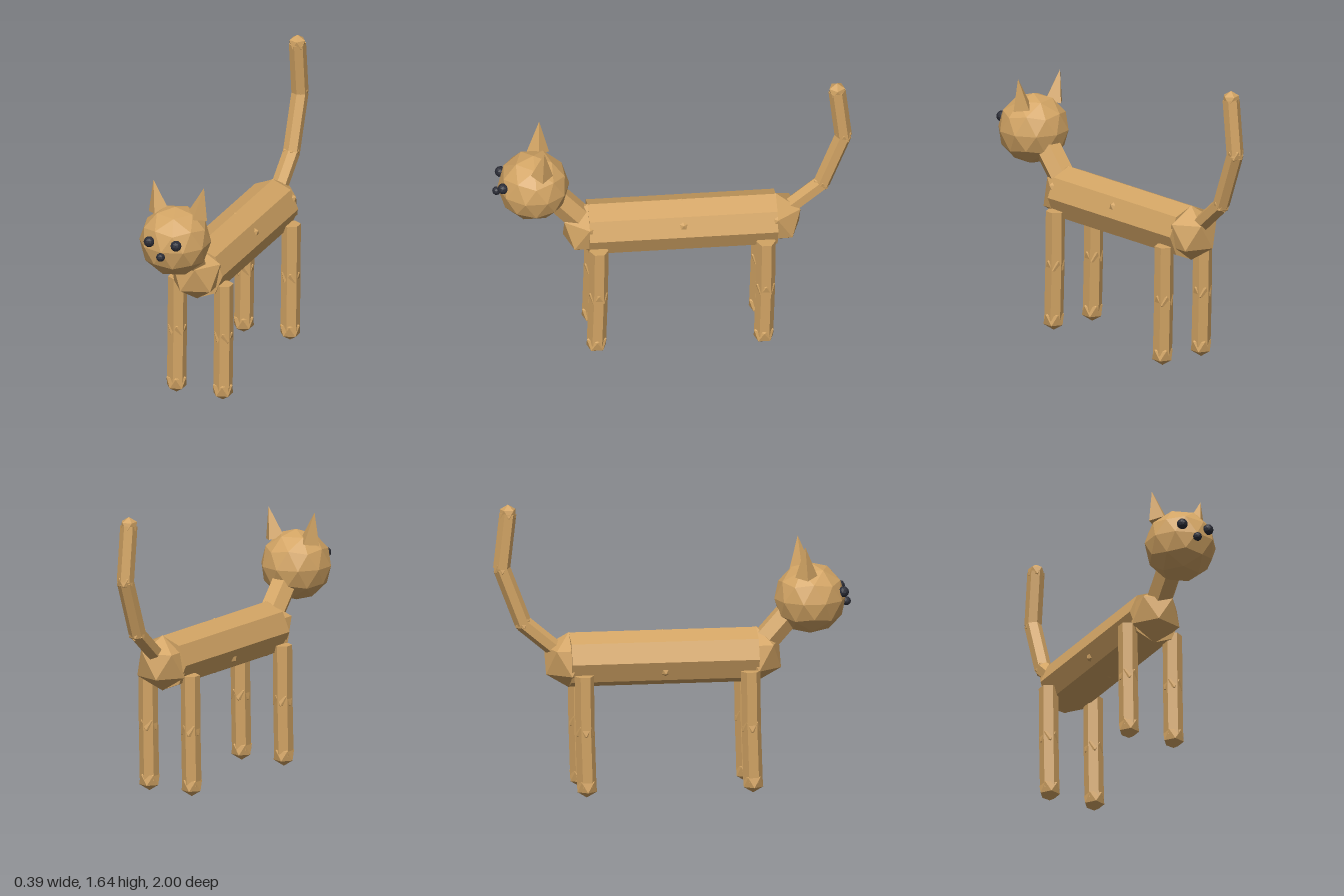
import * as THREE from 'three';

export function createModel() {
  const model = new THREE.Group();
  model.name = 'cat';
  const fur = new THREE.MeshStandardMaterial({ color: 0xd2a464, flatShading: true });
  fur.name = 'tan fur';
  const dark = new THREE.MeshStandardMaterial({ color: 0x2a2c36, flatShading: true });
  dark.name = 'dark features';
  const v = (x, y, z) => new THREE.Vector3(x, y, z);
  const UP = v(0, 1, 0);

  function add(parent, name, geometry, material, position) {
    const mesh = new THREE.Mesh(geometry, material);
    mesh.name = name;
    mesh.position.copy(position);
    parent.add(mesh);
    return mesh;
  }

  // Faceted ball with one corner pointing straight up
  function ball(parent, name, r, position, detail = 0, material = fur) {
    const g = new THREE.IcosahedronGeometry(r, detail);
    g.rotateX(-Math.atan((1 + Math.sqrt(5)) / 2));
    g.rotateY(Math.PI / 2);
    return add(parent, name, g, material, position);
  }

  // Straight prism between two points
  function limb(parent, name, a, b, r, sides = 6, twist = 0) {
    const g = new THREE.CylinderGeometry(r, r, a.distanceTo(b), sides);
    g.rotateY(twist);
    const mesh = add(parent, name, g, fur, a.clone().add(b).multiplyScalar(0.5));
    mesh.quaternion.setFromUnitVectors(UP, b.clone().sub(a).normalize());
    return mesh;
  }

  // Body: two octagonal halves joined by faceted balls
  const chest = v(0, 0.755, 0.47), waist = v(0, 0.755, -0.053), rump = v(0, 0.755, -0.577);
  limb(model, 'frontBody', waist, chest, 0.154, 8);
  limb(model, 'rearBody', rump, waist, 0.154, 8);
  ball(model, 'chest', 0.157, chest);
  ball(model, 'waist', 0.157, waist);
  ball(model, 'rump', 0.157, rump);

  // Legs
  for (const [end, z] of [['front', 0.42], ['rear', -0.51]]) {
    for (const [side, s] of [['Left', 1], ['Right', -1]]) {
      const leg = new THREE.Group();
      leg.name = `${end}${side}Leg`;
      model.add(leg);
      const x = 0.14 * s;
      const hip = v(x, 0.69, z), knee = v(x, 0.38, z + 0.004), foot = v(x, 0.065, z + 0.014);
      limb(leg, 'upperLeg', knee, hip, 0.054);
      limb(leg, 'lowerLeg', foot, knee, 0.054);
      ball(leg, 'knee', 0.06, knee);
      ball(leg, 'foot', 0.064, foot);
    }
  }

  // Tail: three bent segments
  const tail = new THREE.Group();
  tail.name = 'tail';
  model.add(tail);
  const bends = [rump, v(0, 0.97, -0.833), v(0, 1.285, -0.953), v(0, 1.595, -0.918)];
  for (let i = 1; i < bends.length; i++) {
    limb(tail, `tailSegment${i}`, bends[i - 1], bends[i], 0.048);
    ball(tail, `tailJoint${i}`, 0.051, bends[i]);
  }

  // Neck and head
  limb(model, 'neck', v(0, 0.78, 0.475), v(0, 1.09, 0.75), 0.077, 6, Math.PI / 6);
  ball(model, 'head', 0.2, v(0, 1.065, 0.772), 1);

  // Ears and eyes
  for (const [side, s] of [['left', 1], ['right', -1]]) {
    const ear = add(model, `${side}Ear`, new THREE.ConeGeometry(0.062, 0.18, 4), fur, v(0.134 * s, 1.297, 0.73));
    ear.rotation.set(-0.06, 0, -0.21 * s);
    ball(model, `${side}Eye`, 0.031, v(0.081 * s, 1.11, 0.948), 1, dark);
  }
  ball(model, 'nose', 0.025, v(0, 1.04, 0.976), 1, dark);

  return model;
}
